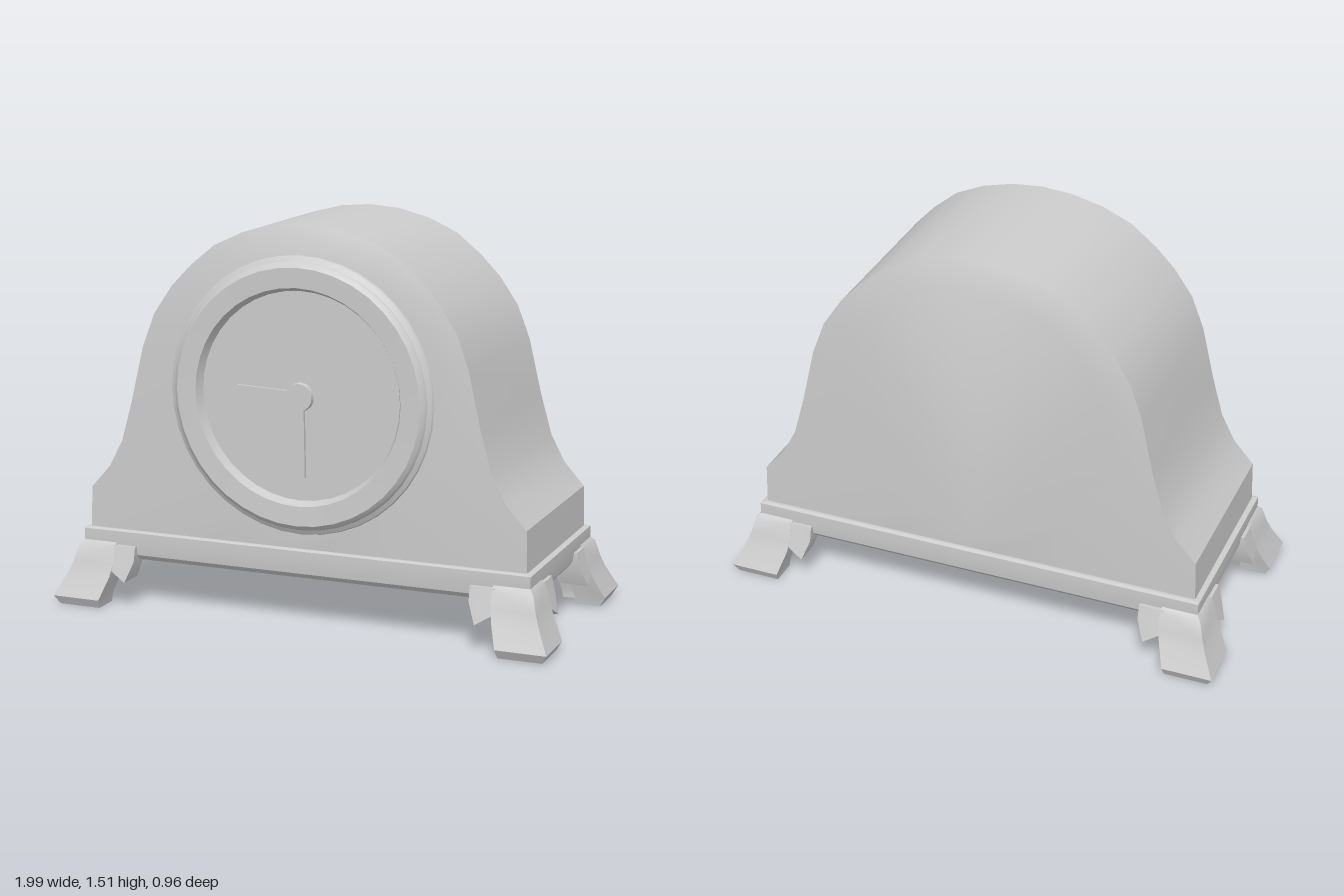
import * as THREE from 'three';
import { toCreasedNormals } from 'three/addons/utils/BufferGeometryUtils.js';

const grey = new THREE.MeshStandardMaterial({ color: 0xcccccc });
grey.name = 'plain grey';

const DIAL_Y = 0.88;

// Skin closed rings of [x, y, z] points and cap both ends
function loft(rings, crease = 0.5, flip = false) {
  const n = rings[0].length, last = (rings.length - 1) * n, index = [];
  const tri = (a, b, c) => (flip ? index.push(a, c, b) : index.push(a, b, c));
  for (let i = 0; i < rings.length - 1; i++) {
    for (let j = 0; j < n; j++) {
      const k = (j + 1) % n, a = i * n + j, b = i * n + k;
      tri(a, b, b + n);
      tri(a, b + n, a + n);
    }
  }
  for (let j = 1; j < n - 1; j++) {
    tri(0, j + 1, j);
    tri(last, last + j, last + j + 1);
  }
  const g = new THREE.BufferGeometry();
  g.setAttribute('position', new THREE.Float32BufferAttribute(rings.flat(2), 3));
  g.setIndex(index);
  return toCreasedNormals(g, crease);
}

function add(parent, name, geometry) {
  const mesh = new THREE.Mesh(geometry, grey);
  mesh.name = name;
  parent.add(mesh);
  return mesh;
}

// Arched case: outline edges draw back towards the top, faces are flat in the middle
function caseGeometry() {
  const right = [[0.3, 0.29], [0.6, 0.29], [0.885, 0.29], [0.88, 0.455], [0.8, 0.545], [0.745, 0.65],
    [0.7, 0.81], [0.652, 1.02], [0.604, 1.15], [0.532, 1.258], [0.455, 1.34], [0.359, 1.42],
    [0.245, 1.473], [0.12, 1.505]];
  const left = right.map(([x, y]) => [-x, y]).reverse();
  const outline = [[0, 0.29], ...right, [0, 1.515], ...left];
  const edge = (side) => outline.map(([x, y]) => {
    const t = Math.max(0, (y - 0.7) / 0.81);
    return [x, y, side * (0.365 - 0.033 * t * t)];
  });
  const face = (side) => outline.map(([x, y]) => {
    const k = 0.54 / Math.hypot(x, y - DIAL_Y);
    return [x * k, DIAL_Y + (y - DIAL_Y) * k, side * 0.37];
  });
  return loft([face(-1), edge(-1), edge(1), face(1)]);
}

// Rectangular ring at height y
const rect = (x, y, z) => [[-x, y, z], [x, y, z], [x, y, -z], [-x, y, -z]];

// One corner foot: two mitred bracket panels with an outward-sweeping profile
function makeFoot(sx, sz) {
  const foot = new THREE.Group();
  foot.name = 'foot';
  // each row: height, outer offset, inner offset, length from the corner
  const rows = [[0, 0.073, -0.03, 0.097], [0.035, 0.092, -0.03, 0.103], [0.12, 0.05, -0.06, 0.13],
    [0.165, 0.033, -0.07, 0.138], [0.232, 0.015, -0.07, 0.14], [0.248, 0, -0.07, 0.14]];
  // each column: distance from the corner, low height, outer offset at that height
  const columns = [[0.13, 0.145, 0.038], [0.195, 0.105, 0.05], [0.225, 0.185, 0.025]];
  for (const side of [false, true]) {
    const place = ([s, y, d]) => (side
      ? [sx * (0.905 + d), y, sz * (0.39 - s)]
      : [sx * (0.905 - s), y, sz * (0.39 + d)]);
    const flip = sx * sz * (side ? 1 : -1) < 0;
    const leg = rows.map(([y, out, inn, end]) =>
      [[-inn, y, inn], [-out, y, out], [end, y, out], [end, y, inn]].map(place));
    const wing = columns.map(([s, y, out]) =>
      [[s, y, -0.06], [s, 0.24, -0.06], [s, 0.24, 0.012], [s, y, out]].map(place));
    add(foot, side ? 'sideLeg' : 'frontLeg', loft(leg, 0.5, flip));
    add(foot, side ? 'sideBracket' : 'frontBracket', loft(wing, 0.5, flip));
  }
  return foot;
}

export function createModel() {
  const clock = new THREE.Group();
  clock.name = 'mantelClock';

  add(clock, 'case', caseGeometry());

  // Plinth with a slightly tapered underside
  add(clock, 'plinth', loft([rect(0.885, 0.185, 0.365), rect(0.9, 0.205, 0.383),
    rect(0.905, 0.245, 0.388), rect(0.905, 0.293, 0.388), rect(0.89, 0.298, 0.375)], 0.2));

  // Stepped bezel ring around the dial
  const profile = [[0.53, 0.36], [0.522, 0.377], [0.505, 0.387], [0.5, 0.397], [0.485, 0.41],
    [0.41, 0.407], [0.392, 0.366]].map(([r, z]) => new THREE.Vector2(r, z));
  const bezelGeometry = new THREE.LatheGeometry(profile, 40);
  bezelGeometry.rotateX(Math.PI / 2);
  const bezel = add(clock, 'bezel', toCreasedNormals(bezelGeometry, 0.4));
  bezel.position.y = DIAL_Y;

  const dial = add(clock, 'dial', new THREE.CircleGeometry(0.4, 40));
  dial.position.set(0, DIAL_Y, 0.372);

  // Hands and hub
  const hub = add(clock, 'handHub', new THREE.CylinderGeometry(0.052, 0.055, 0.02, 14).rotateX(Math.PI / 2));
  hub.position.set(0.002, DIAL_Y, 0.38);
  const hand = (name, length, angle) => {
    const w = 0.024;
    const shape = new THREE.Shape([[-w * 0.8, 0], [w * 0.8, 0], [w, length], [-w, length]]
      .map(([x, y]) => new THREE.Vector2(x, y)));
    const mesh = add(clock, name, new THREE.ExtrudeGeometry(shape, { depth: 0.014, bevelEnabled: false }));
    mesh.position.set(0, DIAL_Y, 0.371);
    mesh.rotation.z = angle;
  };
  hand('hourHand', 0.25, Math.PI / 2 - 0.02);
  hand('minuteHand', 0.305, Math.PI);

  for (const sx of [1, -1]) for (const sz of [1, -1]) clock.add(makeFoot(sx, sz));
  return clock;
}
